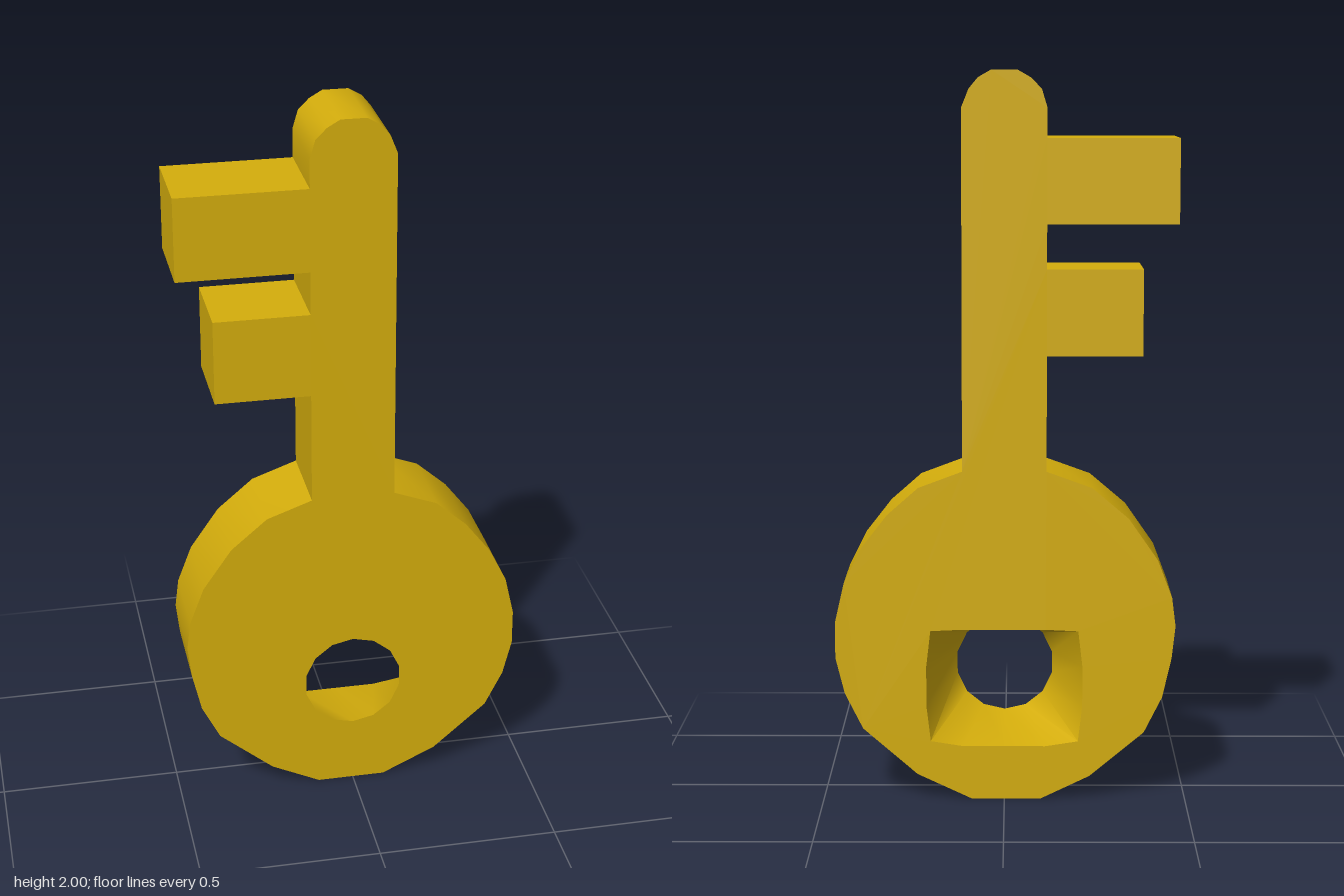
import * as THREE from 'three';
import { mergeGeometries, toCreasedNormals } from 'three/addons/utils/BufferGeometryUtils.js';

const FRONT = 0.12, BACK = -0.125;
const points = (list) => list.map(([x, y]) => new THREE.Vector2(x, y));

// Wall between two matching closed loops at different depths
function loft(loopA, zA, loopB, zB) {
  const pos = [];
  const n = loopA.length;
  for (let i = 0; i < n; i++) {
    const j = (i + 1) % n;
    const a = [loopA[i].x, loopA[i].y, zA], b = [loopB[i].x, loopB[i].y, zB];
    const c = [loopB[j].x, loopB[j].y, zB], d = [loopA[j].x, loopA[j].y, zA];
    pos.push(...a, ...b, ...c, ...a, ...c, ...d);
  }
  const geo = new THREE.BufferGeometry();
  geo.setAttribute('position', new THREE.Float32BufferAttribute(pos, 3));
  return geo;
}

// Flat face with a hole, facing front or back
function face(outline, hole, z, facingBack) {
  const shape = new THREE.Shape(outline);
  shape.holes.push(new THREE.Path(hole));
  const geo = new THREE.ShapeGeometry(shape);
  if (facingBack) geo.setIndex(Array.from(geo.index.array).reverse());
  const flat = geo.toNonIndexed();
  flat.deleteAttribute('uv');
  flat.deleteAttribute('normal');
  return flat.translate(0, 0, z);
}

export function createModel() {
  const group = new THREE.Group();
  const material = new THREE.MeshStandardMaterial({ color: 0xd4ad0c });

  // Counter-clockwise silhouette: round bow, shaft with domed tip, two teeth
  const outline = points([
    [-0.1, 0], [0.09, 0], [0.24, 0.07], [0.39, 0.2], [0.44, 0.3], [0.465, 0.4],
    [0.465, 0.5], [0.44, 0.61], [0.39, 0.71], [0.32, 0.8], [0.235, 0.875], [0.115, 0.92],
    [0.115, 1.9], [0.095, 1.95], [0.07, 1.98], [0.035, 2], [-0.035, 2], [-0.07, 1.98],
    [-0.1, 1.95], [-0.115, 1.9], [-0.115, 1.82], [-0.47, 1.82], [-0.47, 1.59],
    [-0.115, 1.59], [-0.115, 1.47], [-0.375, 1.47], [-0.375, 1.235], [-0.115, 1.235],
    [-0.115, 0.92], [-0.24, 0.875], [-0.34, 0.79], [-0.42, 0.675], [-0.46, 0.57],
    [-0.47, 0.49], [-0.46, 0.4], [-0.435, 0.29], [-0.385, 0.19], [-0.235, 0.065],
  ]);

  // Clockwise hole loops: round at the front, a wide flat-topped opening at the back
  const frontHole = [], backHole = [];
  const clamp = THREE.MathUtils.clamp;
  for (let i = 0; i < 14; i++) {
    const t = Math.PI / 2 - (i / 14) * Math.PI * 2;
    const c = Math.cos(t), s = Math.sin(t);
    frontHole.push(new THREE.Vector2(0.138 * c, 0.328 + 0.138 * s));
    backHole.push(new THREE.Vector2(clamp(0.26 * c, -0.215, 0.215), 0.32 + clamp(0.25 * s, -0.17, 0.16)));
  }

  const body = mergeGeometries([
    face(outline, frontHole, FRONT, false),
    face(outline, backHole, BACK, true),
    loft(outline, FRONT, outline, BACK),
  ]);
  const key = new THREE.Mesh(toCreasedNormals(body, 0.6), material);
  key.name = 'keyBody';

  const wall = loft(frontHole, FRONT, backHole, BACK);
  const hole = new THREE.Mesh(toCreasedNormals(wall, 1), material);
  hole.name = 'flaredHoleWall';

  group.add(key, hole);
  return group;
}
